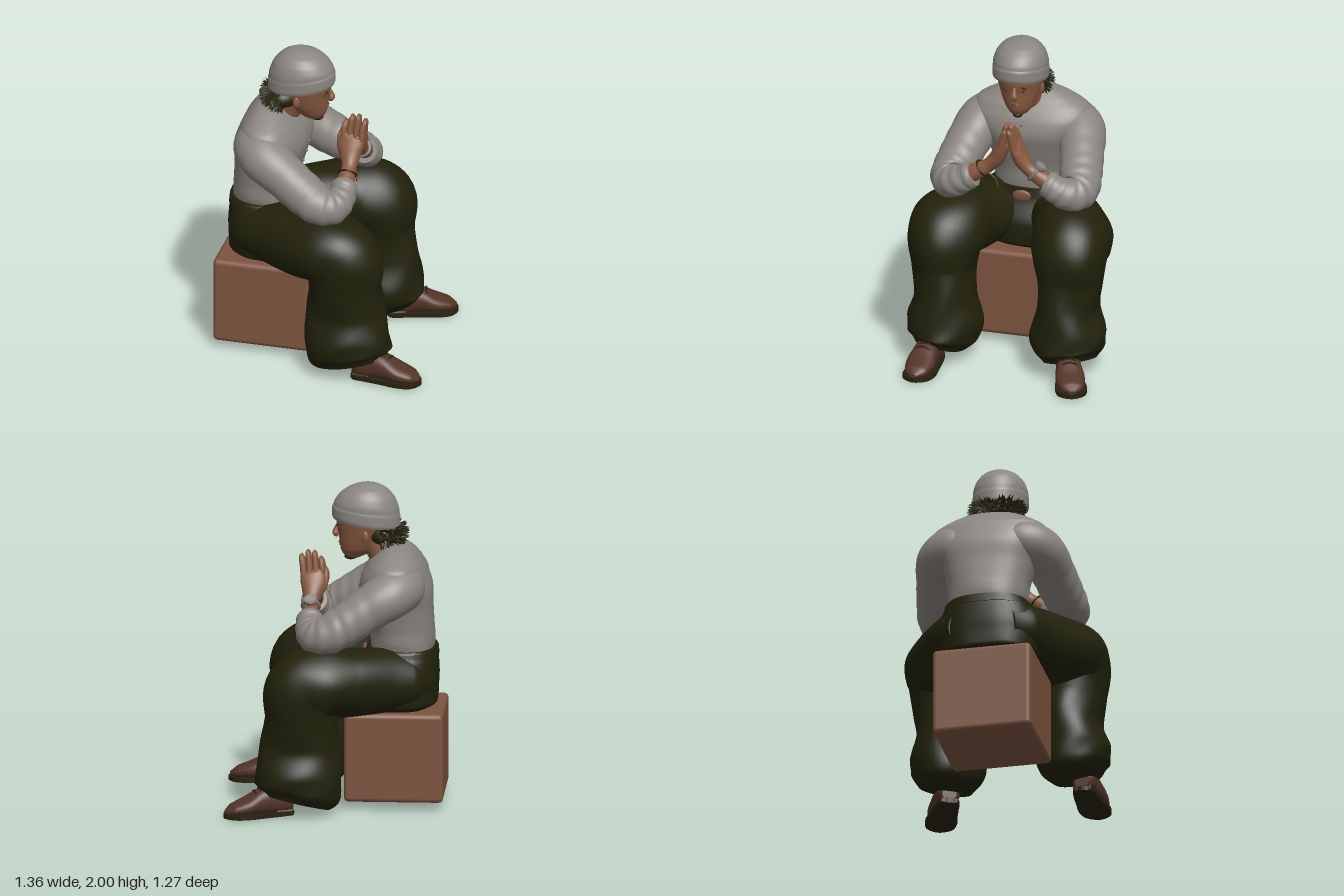
import * as THREE from 'three';
import { mergeGeometries } from 'three/addons/utils/BufferGeometryUtils.js';
import { RoundedBoxGeometry } from 'three/addons/geometries/RoundedBoxGeometry.js';

const V = (x, y, z) => new THREE.Vector3(x, y, z);
const X = V(1, 0, 0), Y = V(0, 1, 0), Z = V(0, 0, 1);

// Skin through rings [x, y, z, radiusA, radiusB]; A lies along ref, s mirrors z
function loft(rings, { ref = X, up = null, s = 1, n = 32, steps = 8, pow = 2, bump = () => 1 } = {}) {
  const path = new THREE.CatmullRomCurve3(rings.map(r => V(r[0], r[1], r[2] * s)));
  const radii = new THREE.CatmullRomCurve3(rings.map(r => V(r[3], r[4], 0)));
  const m = (rings.length - 1) * steps, pos = [], idx = [];
  const side = V(ref.x, ref.y, ref.z * s);
  const curve = c => Math.sign(c) * Math.abs(c) ** (2 / pow);
  for (let i = 0; i <= m; i++) {
    const t = i / m, c = path.getPoint(t), r = radii.getPoint(t);
    const d = up || path.getTangent(t);
    const u = side.clone().addScaledVector(d, -side.dot(d)).normalize();
    const v = d.clone().cross(u);
    for (let j = 0; j < n; j++) {
      const a = j / n * Math.PI * 2, k = bump(a, t);
      const p = c.clone().addScaledVector(u, r.x * k * curve(Math.cos(a))).addScaledVector(v, r.y * k * curve(Math.sin(a)));
      pos.push(p.x, p.y, p.z);
    }
  }
  for (let i = 0; i < m; i++) for (let j = 0; j < n; j++) {
    const a = i * n + j, b = i * n + (j + 1) % n;
    idx.push(a, b, a + n, b, b + n, a + n);
  }
  // End caps with their own vertices
  for (const end of [0, m]) {
    const base = pos.length / 3, c = path.getPoint(end / m);
    for (let k = 0; k < n * 3; k++) pos.push(pos[end * n * 3 + k]);
    pos.push(c.x, c.y, c.z);
    for (let j = 0; j < n; j++) {
      const a = base + j, b = base + (j + 1) % n;
      end ? idx.push(base + n, a, b) : idx.push(base + n, b, a);
    }
  }
  const g = new THREE.BufferGeometry();
  g.setAttribute('position', new THREE.Float32BufferAttribute(pos, 3));
  g.setIndex(idx);
  g.computeVertexNormals();
  return g;
}

export function createModel() {
  const model = new THREE.Group();
  const mat = (name, color) => Object.assign(new THREE.MeshStandardMaterial({ color }), { name });
  const shirt = mat('grey cloth', 0x8a8580), pants = mat('olive cloth', 0x21210b), block = mat('brown block', 0x7d543f);
  const skin = mat('skin', 0x87593f), shoe = mat('brown leather', 0x533326), sole = mat('dark sole', 0x28210f);
  const hair = mat('dark hair', 0x29260f), lip = mat('lips', 0x744536), metal = mat('metal', 0x787876), buckle = mat('buckle', 0x7a5040);

  const add = (name, geo, material, x = 0, y = 0, z = 0, parent = model) => {
    const mesh = new THREE.Mesh(geo, material);
    mesh.name = name;
    mesh.position.set(x, y, z);
    parent.add(mesh);
    return mesh;
  };
  const blob = (name, material, x, y, z, a, b, c) => {
    const mesh = add(name, new THREE.SphereGeometry(1, 20, 14), material, x, y, z);
    mesh.scale.set(a, b, c);
    return mesh;
  };

  // Seat block
  add('seatBlock', new RoundedBoxGeometry(0.61, 0.56, 0.62, 2, 0.03), block, -0.385, 0.332, 0.01);

  // Hips, belt and buckle
  add('hips', loft([[-0.39, 0.61, 0, 0.2, 0.24], [-0.39, 0.65, 0, 0.255, 0.31], [-0.39, 0.78, 0, 0.26, 0.325],
    [-0.42, 0.92, 0, 0.225, 0.29], [-0.425, 0.99, 0, 0.215, 0.255]], { up: Y, pow: 2.4, n: 40,
    bump: (a, t) => 1 + 0.012 * Math.sin(7 * a + 5 * t) * (1 - t) }), pants);
  add('belt', loft([[-0.422, 0.935, 0, 0.228, 0.28], [-0.425, 0.975, 0, 0.222, 0.268]], { up: Y, pow: 2.4 }), pants);
  blob('beltBuckle', buckle, -0.193, 0.95, 0.018, 0.015, 0.038, 0.06);

  // Shirt body with broad sloping shoulders
  add('shirtBody', loft([[-0.428, 0.98, 0, 0.193, 0.235], [-0.428, 1.03, 0, 0.196, 0.245], [-0.425, 1.1, 0, 0.197, 0.25],
    [-0.4, 1.25, 0, 0.215, 0.285], [-0.385, 1.36, 0, 0.226, 0.33], [-0.38, 1.45, 0, 0.2, 0.37], [-0.385, 1.52, 0, 0.165, 0.345],
    [-0.39, 1.575, 0, 0.12, 0.255], [-0.39, 1.612, 0, 0.08, 0.17], [-0.385, 1.63, 0, 0.045, 0.08]],
  { up: Y, n: 48, pow: 2.4, bump: (a, t) => 1 + 0.014 * Math.sin(4 * a + 12 * t) * (1 - t) }), shirt);
  const collar = add('collar', new THREE.TorusGeometry(0.112, 0.012, 10, 32), shirt, -0.315, 1.555, 0.005);
  collar.rotation.set(Math.PI / 2, -0.62, 0);
  [[-0.172, 1.43], [-0.156, 1.36], [-0.172, 1.29], [-0.192, 1.22]].forEach(([x, y], i) =>
    blob('shirtButton' + (i + 1), metal, x, y, 0.015, 0.008, 0.01, 0.01));

  // Neck and head
  add('neck', loft([[-0.36, 1.48, 0, 0.1, 0.1], [-0.29, 1.58, 0.008, 0.088, 0.088], [-0.22, 1.72, 0.015, 0.1, 0.1]]), skin);
  add('head', loft([[-0.125, 1.53, 0.015, 0.03, 0.03], [-0.13, 1.55, 0.015, 0.068, 0.058], [-0.145, 1.585, 0.015, 0.102, 0.085],
    [-0.16, 1.635, 0.018, 0.125, 0.108], [-0.175, 1.7, 0.02, 0.147, 0.128], [-0.185, 1.76, 0.022, 0.17, 0.142],
    [-0.19, 1.84, 0.025, 0.18, 0.15]], { up: Y }), skin);
  add('nose', loft([[-0.034, 1.745, 0.015, 0.012, 0.011], [-0.018, 1.71, 0.015, 0.016, 0.015],
    [-0.012, 1.682, 0.015, 0.02, 0.025], [-0.026, 1.665, 0.015, 0.012, 0.018]], { n: 16 }), skin);
  blob('upperLip', lip, -0.046, 1.627, 0.015, 0.016, 0.009, 0.036);
  blob('lowerLip', lip, -0.05, 1.612, 0.015, 0.016, 0.01, 0.03);
  blob('goatee', hair, -0.105, 1.537, 0.015, 0.04, 0.022, 0.032);
  for (const s of [1, -1]) {
    const eye = blob('eye', hair, -0.039, 1.717, 0.017 + s * 0.053, 0.006, 0.005, 0.02);
    const brow = blob('eyebrow', hair, -0.03, 1.744, 0.017 + s * 0.055, 0.006, 0.005, 0.03);
    eye.rotation.y = brow.rotation.y = s * 0.35;
    const ear = blob('ear', skin, -0.2, 1.685, 0.02 + s * 0.128, 0.022, 0.038, 0.014);
    ear.rotation.y = s * 0.4;
  }

  // Spiky hair below the cap
  let seed = 7;
  const rnd = () => (seed = (seed * 16807) % 2147483647) / 2147483647;
  const tufts = [new THREE.SphereGeometry(1, 24, 16).scale(0.115, 0.08, 0.15).translate(-0.31, 1.685, 0.028)];
  for (let i = 0; i < 220; i++) {
    const a = (rnd() - 0.5) * 3.4, b = (rnd() - 0.65) * 1.6;
    const d = V(-Math.cos(a) * Math.cos(b), Math.sin(b), Math.sin(a) * Math.cos(b));
    const cone = new THREE.ConeGeometry(0.014, 0.055, 5).translate(0, 0.017, 0);
    cone.applyQuaternion(new THREE.Quaternion().setFromUnitVectors(Y, d.clone().add(V(0, (rnd() - 0.7) * 0.8, 0)).normalize()));
    tufts.push(cone.translate(-0.31 + d.x * 0.115, 1.685 + d.y * 0.08, 0.028 + d.z * 0.15));
  }
  add('hair', mergeGeometries(tufts), hair);

  // Knitted cap, tilted up toward the brow
  const tilt = g => {
    const p = g.attributes.position;
    for (let i = 0; i < p.count; i++) p.setY(i, p.getY(i) + 0.15 * (p.getX(i) + 0.2) * Math.min(1, (2 - p.getY(i)) / 0.2));
    g.computeVertexNormals();
    return g;
  };
  add('cap', tilt(loft([[-0.2, 1.76, 0.025, 0.203, 0.163], [-0.2, 1.8, 0.025, 0.207, 0.168], [-0.202, 1.86, 0.025, 0.2, 0.168],
    [-0.205, 1.92, 0.025, 0.17, 0.15], [-0.207, 1.965, 0.025, 0.122, 0.112], [-0.21, 1.993, 0.025, 0.06, 0.055],
    [-0.21, 2, 0.025, 0.002, 0.002]], { up: Y, n: 48 })), shirt);
  add('capBand', tilt(loft([[-0.2, 1.75, 0.025, 0.205, 0.166], [-0.2, 1.77, 0.025, 0.211, 0.172], [-0.2, 1.82, 0.025, 0.21, 0.172],
    [-0.201, 1.84, 0.025, 0.202, 0.168]], { up: Y, n: 48, steps: 5 })), shirt);

  const soleShape = new THREE.Shape();
  soleShape.moveTo(0.05, 0.06);
  soleShape.splineThru([[0.13, 0.075], [0.22, 0.086], [0.34, 0.1], [0.43, 0.078], [0.475, 0], [0.43, -0.078], [0.34, -0.095],
    [0.22, -0.08], [0.13, -0.072], [0.05, -0.06], [0.03, 0], [0.05, 0.06]].map(p => new THREE.Vector2(...p)));

  for (const s of [1, -1]) {
    const label = s > 0 ? 'right' : 'left';

    // Baggy trouser leg: thigh, bent knee, narrow shin and a flared hem that lifts over the shoe
    add(label + 'TrouserLeg', loft([[-0.57, 0.79, 0.1, 0.12, 0.13], [-0.45, 0.8, 0.15, 0.19, 0.18], [-0.3, 0.81, 0.22, 0.205, 0.2],
      [-0.1, 0.82, 0.32, 0.225, 0.215], [0.06, 0.83, 0.38, 0.25, 0.228], [0.16, 0.775, 0.4, 0.238, 0.245], [0.175, 0.6, 0.405, 0.2, 0.225],
      [0.18, 0.42, 0.39, 0.188, 0.25], [0.19, 0.25, 0.395, 0.235, 0.262], [0.2, 0.15, 0.405, 0.215, 0.268],
      [0.215, 0.085, 0.415, 0.16, 0.22]], { ref: Z, s, n: 48, steps: 10,
      bump: (a, t) => 1 + 0.02 * Math.sin(3 * a + 22 * t) * Math.sin(t * 3) + 0.018 * Math.sin(5 * a - 30 * t) * t }), pants);

    // Shoe with sole, heel and laces
    const foot = new THREE.Group();
    foot.name = label + 'Shoe';
    foot.position.set(0.2, 0, s > 0 ? 0.435 : -0.38);
    foot.rotation.y = s > 0 ? -0.05 : 0.38;
    model.add(foot);
    add('sole', new THREE.ExtrudeGeometry(soleShape, { depth: 0.026, bevelEnabled: false, curveSegments: 40 })
      .rotateX(-Math.PI / 2).translate(0, 0.005, 0), sole, 0, 0, 0, foot);
    add('heel', new RoundedBoxGeometry(0.12, 0.045, 0.12, 2, 0.015), sole, 0.095, 0.023, 0, foot);
    add('upper', loft([[0.04, 0.075, 0, 0.045, 0.045], [0.08, 0.092, 0, 0.07, 0.075], [0.15, 0.102, 0, 0.072, 0.09],
      [0.24, 0.098, 0, 0.08, 0.078], [0.33, 0.074, 0, 0.09, 0.053], [0.42, 0.055, 0, 0.07, 0.034], [0.465, 0.042, 0, 0.02, 0.012]],
    { ref: Z, up: X, pow: 2.3 }), shoe, 0, 0, 0, foot);
    for (let i = 0; i < 3; i++) {
      const y = 0.191 - i * 0.012, x = 0.21 + i * 0.032;
      const lace = new THREE.CatmullRomCurve3([V(x, y - 0.045, -0.065), V(x + 0.005, y - 0.006, -0.025), V(x, y - 0.006, 0.025), V(x + 0.005, y - 0.045, 0.065)]);
      add('lace', new THREE.TubeGeometry(lace, 12, 0.006, 6), sole, 0, 0, 0, foot);
    }

    // Sleeve resting on the knee, with gathered folds
    const bend = V(0.37, 0.75, 0.55);
    add(label + 'Sleeve', loft([[-0.42, 1.38, 0.12, 0.12, 0.14], [-0.42, 1.39, 0.23, 0.148, 0.155], [-0.36, 1.365, 0.31, 0.145, 0.155],
      [-0.22, 1.28, 0.36, 0.136, 0.138], [-0.09, 1.195, 0.392, 0.13, 0.133], [0.02, 1.138, 0.413, 0.115, 0.125], [0.09, 1.125, 0.385, 0.105, 0.11],
      [0.125, 1.155, 0.315, 0.09, 0.092], [0.13, 1.195, 0.245, 0.076, 0.076]], { ref: bend, s, n: 36, steps: 12,
      bump: (a, t) => 1 + 0.03 * Math.sin(t * 78 + 2.5 * Math.cos(a)) * Math.min(1, t * t * 2) }), shirt);
    add(label + 'Cuff', loft([[0.128, 1.178, 0.28, 0.078, 0.078], [0.13, 1.19, 0.257, 0.086, 0.086], [0.13, 1.203, 0.23, 0.076, 0.076]],
      { ref: bend, s }), shirt);

    // Forearm, palm, fingers and thumb
    add(label + 'Forearm', loft([[0.13, 1.17, 0.3, 0.055, 0.055], [0.13, 1.22, 0.22, 0.054, 0.054], [0.13, 1.275, 0.135, 0.046, 0.044],
      [0.125, 1.33, 0.083, 0.064, 0.048], [0.12, 1.385, 0.055, 0.08, 0.044], [0.125, 1.435, 0.037, 0.077, 0.034],
      [0.13, 1.455, 0.033, 0.06, 0.014]], { s }), skin);
    [1.535, 1.57, 1.575, 1.55].forEach((tip, i) => {
      const x = 0.066 + i * 0.038, lean = 0.01 + i * 0.002;
      add(label + 'Finger' + (i + 1), loft([[x, 1.41, 0.042, 0.02, 0.026], [x + lean * 0.5, 1.49, 0.026, 0.0195, 0.023],
        [x + lean, tip - 0.02, 0.016, 0.017, 0.017], [x + lean, tip, 0.009, 0.005, 0.005]], { s, n: 12, steps: 5 }), skin);
    });
    add(label + 'Thumb', loft([[0.09, 1.32, 0.08, 0.03, 0.03], [0.058, 1.37, 0.05, 0.026, 0.027], [0.046, 1.43, 0.024, 0.019, 0.021],
      [0.048, 1.47, 0.014, 0.005, 0.005]], { s, n: 14, steps: 5 }), skin);
  }

  // Wristwatch on the left arm, cord on the right
  const along = V(0, 0.6, 0.8), out = V(0, 0.8, -0.6);
  const band = add('watchBand', new THREE.TorusGeometry(0.051, 0.012, 10, 28), metal, 0.13, 1.26, -0.162);
  band.quaternion.setFromUnitVectors(Z, along);
  const dial = (name, r, h, d, material) => add(name, new THREE.CylinderGeometry(r, r, h, 24), material,
    0.13, 1.26 + out.y * d, -0.162 + out.z * d).quaternion.setFromUnitVectors(Y, out);
  dial('watchCase', 0.04, 0.024, 0.055, metal);
  dial('watchFace', 0.027, 0.006, 0.068, shirt);
  const cord = add('wristCord', new THREE.TorusGeometry(0.052, 0.006, 8, 28), sole, 0.13, 1.25, 0.175);
  cord.quaternion.setFromUnitVectors(Z, V(0, 0.6, -0.8));
  add('cordEnd', new THREE.TubeGeometry(new THREE.CatmullRomCurve3([V(0.16, 1.24, 0.13), V(0.165, 1.2, 0.075), V(0.16, 1.15, 0.065)]), 10, 0.004, 6), lip);

  return model;
}
